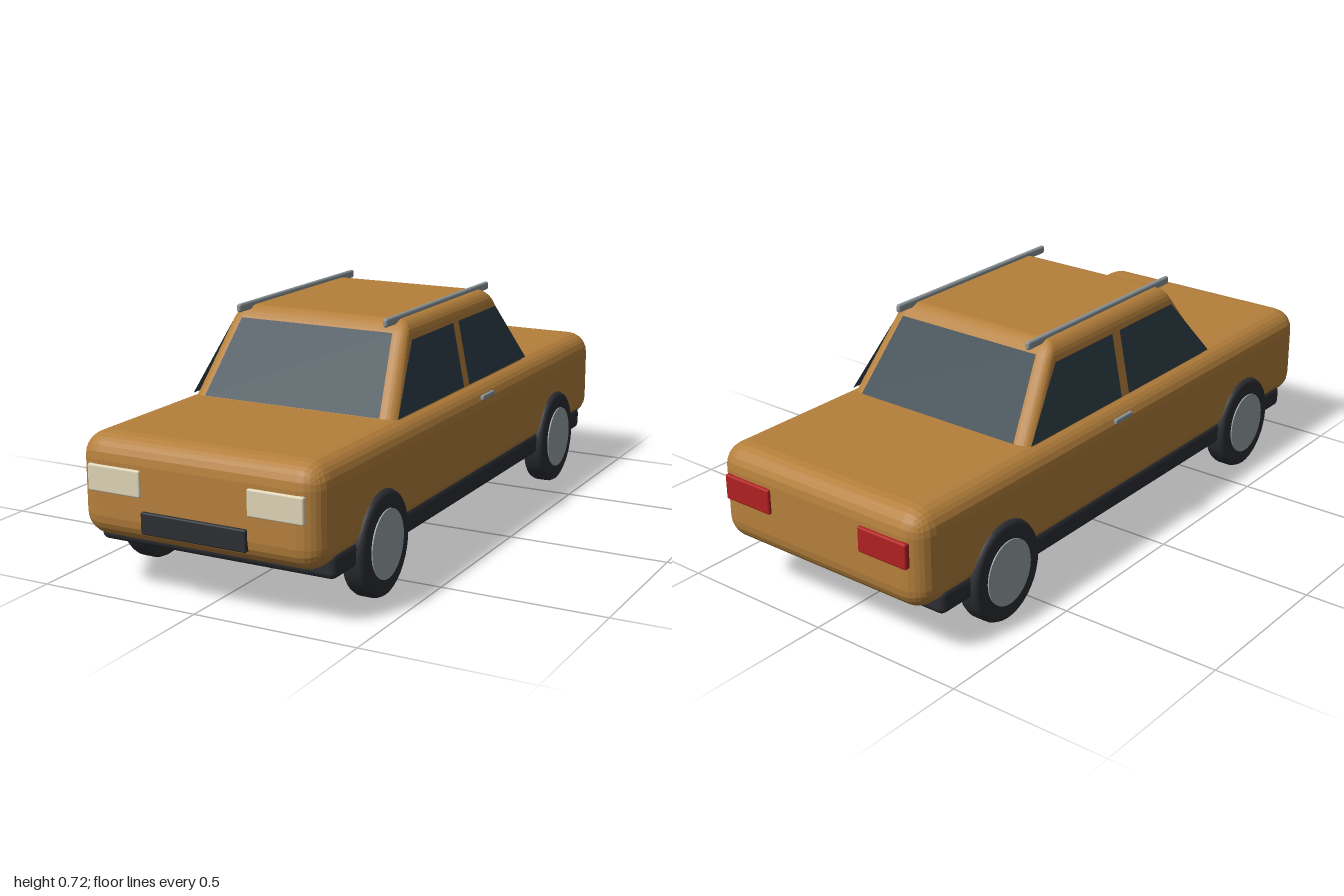
import * as THREE from 'three';
import { RoundedBoxGeometry } from 'three/addons/geometries/RoundedBoxGeometry.js';

const mat = (color, extra = {}) => {
  const m = new THREE.MeshStandardMaterial({ color });
  return Object.assign(m, extra);
};

export function createModel() {
  const car = new THREE.Group();
  car.name = 'car';

  const paint = mat(0xb5803c, { flatShading: true });
  const glass = mat(0x2f404a, { side: THREE.DoubleSide });
  const dark = mat(0x2c2e33);
  const hubGrey = mat(0x98a2a6);
  const metal = mat(0x8b959a);
  const cream = mat(0xe0d5b8);
  const red = mat(0xb02020);

  const add = (name, geometry, material, x = 0, y = 0, z = 0) => {
    const mesh = new THREE.Mesh(geometry, material);
    mesh.name = name;
    mesh.position.set(x, y, z);
    car.add(mesh);
    return mesh;
  };
  // Rounded block given by its size and centre
  const block = (name, [w, h, d], radius, material, x, y, z, segments = 2) =>
    add(name, new RoundedBoxGeometry(w, h, d, segments, radius), material, x, y, z);
  // Flat pane from four corners, anticlockwise from outside
  const pane = (name, corners) => {
    const g = new THREE.BufferGeometry();
    g.setAttribute('position', new THREE.Float32BufferAttribute(corners.flat(), 3));
    g.setIndex([0, 1, 2, 0, 2, 3]);
    g.computeVertexNormals();
    return add(name, g, glass);
  };

  // Lower body and dark sill
  block('body', [0.77, 0.30, 1.98], 0.07, paint, 0, 0.31, 0, 3);
  block('sill', [0.76, 0.075, 1.80], 0.02, dark, 0, 0.1625, 0);

  // Cabin: rounded block tapered towards the roof
  const beltline = 0.46, roof = 0.71;
  const rise = (y) => (y - beltline) / (roof - beltline);
  const halfX = (y) => 0.338 * (1 - 0.15 * rise(y));
  const halfZ = (y) => 0.477 * (1 - 0.375 * rise(y));
  const cabin = new RoundedBoxGeometry(2 * halfX(beltline), 0.34, 2 * halfZ(beltline), 3, 0.04);
  cabin.translate(0, roof - 0.17, 0);
  const p = cabin.attributes.position;
  for (let i = 0; i < p.count; i++) {
    const y = p.getY(i);
    p.setX(i, p.getX(i) * halfX(y) / halfX(beltline));
    p.setZ(i, p.getZ(i) * halfZ(y) / halfZ(beltline));
  }
  cabin.computeVertexNormals();
  add('cabin', cabin, paint);

  // Windscreen and rear window
  for (const s of [1, -1]) {
    const low = 0.462, high = 0.677;
    const zl = s * (halfZ(low) + 0.006), zh = s * (halfZ(high) + 0.006);
    pane(s > 0 ? 'windscreen' : 'rearWindow', [
      [-s * 0.293, low, zl], [s * 0.293, low, zl],
      [s * 0.255, high, zh], [-s * 0.255, high, zh],
    ]);
  }

  for (const s of [1, -1]) {
    const side = s > 0 ? 'left' : 'right';

    // Side windows, two per side with a pillar between
    const low = 0.462, high = 0.657;
    const xl = s * (halfX(low) + 0.007), xh = s * (halfX(high) + 0.007);
    for (const e of [1, -1]) {
      const corners = [
        [xl, low, e * 0.465], [xl, low, e * 0.019],
        [xh, high, e * 0.019], [xh, high, e * 0.30],
      ];
      pane(side + (e > 0 ? 'FrontWindow' : 'BackWindow'),
        s * e > 0 ? corners : corners.reverse());
    }

    // Lamps, door handle and roof rail
    block(side + 'Headlight', [0.173, 0.078, 0.03], 0.006, cream, s * 0.256, 0.339, 0.982);
    block(side + 'TailLight', [0.173, 0.078, 0.03], 0.006, red, s * 0.256, 0.339, -0.985);
    block(side + 'DoorHandle', [0.012, 0.016, 0.085], 0.004, metal, s * 0.385, 0.422, -0.068);
    block(side + 'RoofRail', [0.015, 0.026, 0.72], 0.007, metal, s * 0.247, 0.710, 0);
  }

  // Grille
  block('grille', [0.335, 0.064, 0.03], 0.005, dark, 0, 0.232, 0.985);

  // Wheels: tyre turned on the lathe, with a flat hub disc
  const tyreProfile = [
    [0, -0.036], [0.139, -0.036], [0.150, -0.031], [0.155, -0.02],
    [0.155, 0.02], [0.150, 0.031], [0.139, 0.036], [0, 0.036],
  ].map(([r, y]) => new THREE.Vector2(r, y));
  const tyre = new THREE.LatheGeometry(tyreProfile, 36).rotateZ(-Math.PI / 2);
  const hub = new THREE.CylinderGeometry(0.101, 0.101, 0.02, 36).rotateZ(-Math.PI / 2);
  for (const s of [1, -1]) {
    for (const e of [1, -1]) {
      const wheel = new THREE.Group();
      wheel.name = (e > 0 ? 'front' : 'rear') + (s > 0 ? 'Left' : 'Right') + 'Wheel';
      const t = new THREE.Mesh(tyre, dark);
      t.name = 'tyre';
      const h = new THREE.Mesh(hub, hubGrey);
      h.name = 'hub';
      h.position.x = 0.03;
      wheel.add(t, h);
      wheel.position.set(s * 0.364, 0.155, e * 0.638);
      wheel.rotation.y = s > 0 ? 0 : Math.PI;
      wheel.scale.z = 0.935;
      car.add(wheel);
    }
  }

  return car;
}
